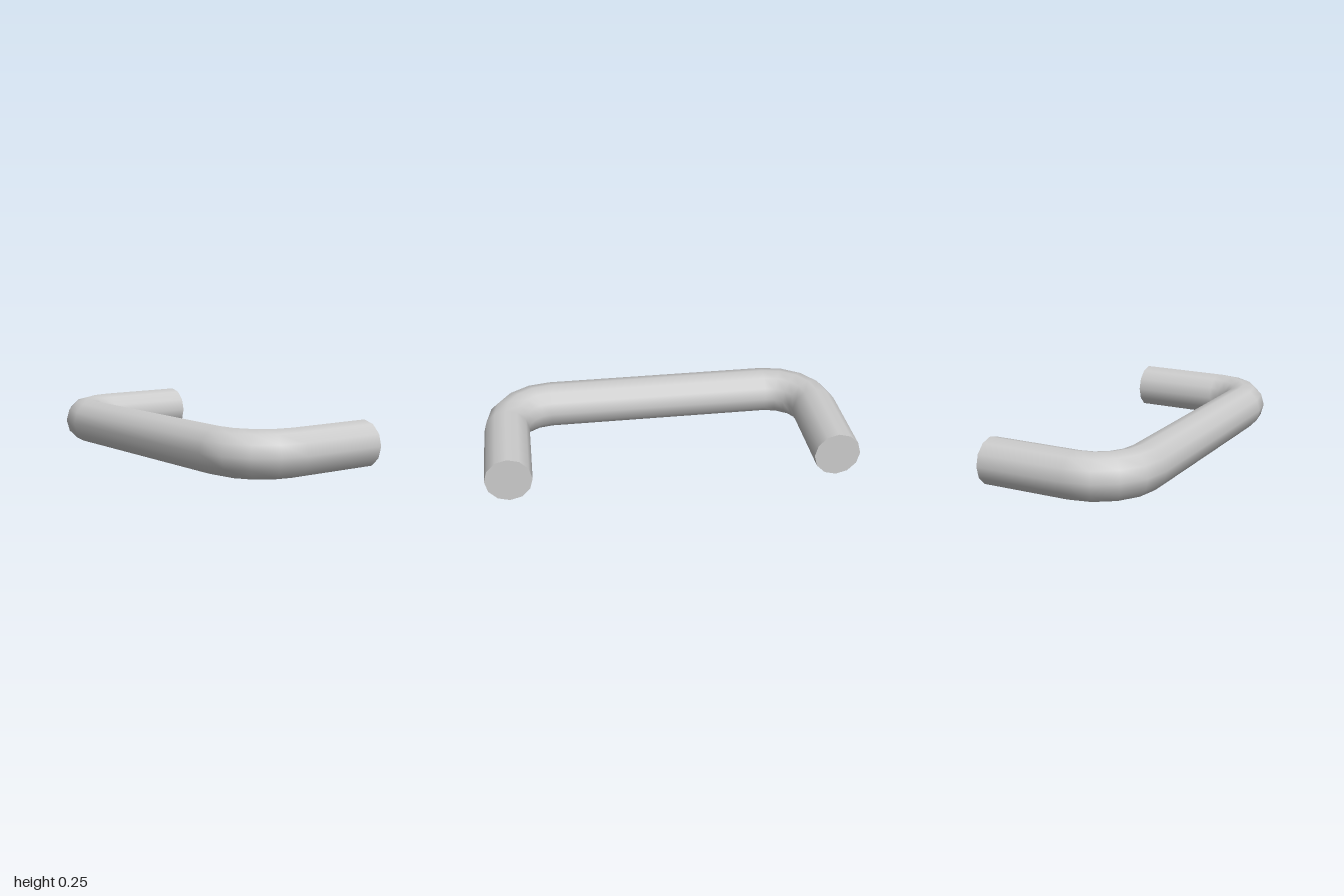
import * as THREE from 'three';

const RADIUS = 0.125, SIDES = 12;
const LEG_X = 0.875, BACK_Z = -0.435;    // leg centre line and mounting face
const BEND_X = 0.62, BEND_Z = 0.055;     // centre of each corner bend
const BEND_R = LEG_X - BEND_X, BEND_STEPS = 4;

// Centre-line stations: left leg, left bend, right bend, right leg.
// "angle" is the direction of the outer side of the bar in the xz plane.
function handleStations() {
  const stations = [{ x: LEG_X, z: BACK_Z, angle: 0 }];
  for (const side of [1, -1]) {
    for (let i = 0; i <= BEND_STEPS; i++) {
      const angle = (side > 0 ? 0 : Math.PI / 2) + (i / BEND_STEPS) * Math.PI / 2;
      stations.push({
        x: side * BEND_X + BEND_R * Math.cos(angle),
        z: BEND_Z + BEND_R * Math.sin(angle),
        angle,
      });
    }
  }
  stations.push({ x: -LEG_X, z: BACK_Z, angle: Math.PI });
  return stations;
}

// Bends a capped cylinder so each of its rings sits on one station.
function bentBar(stations) {
  const rows = stations.length - 1;
  const geometry = new THREE.CylinderGeometry(RADIUS, RADIUS, 1, SIDES, rows);
  const position = geometry.attributes.position, normal = geometry.attributes.normal;
  for (let i = 0; i < position.count; i++) {
    const s = stations[Math.round((0.5 - position.getY(i)) * rows)];
    const c = Math.cos(s.angle), n = Math.sin(s.angle);
    const out = position.getX(i), up = position.getZ(i);
    position.setXYZ(i, s.x + out * c, RADIUS + up, s.z + out * n);
    const nx = normal.getX(i), ny = normal.getY(i), nz = normal.getZ(i);
    normal.setXYZ(i, nx * c + ny * n, nz, nx * n - ny * c);
  }
  return geometry;
}

export function createModel() {
  const group = new THREE.Group();
  group.name = 'pullHandle';
  const material = new THREE.MeshStandardMaterial({ color: 0xcccccc });
  const bar = new THREE.Mesh(bentBar(handleStations()), material);
  bar.name = 'handleBar';
  group.add(bar);
  return group;
}
